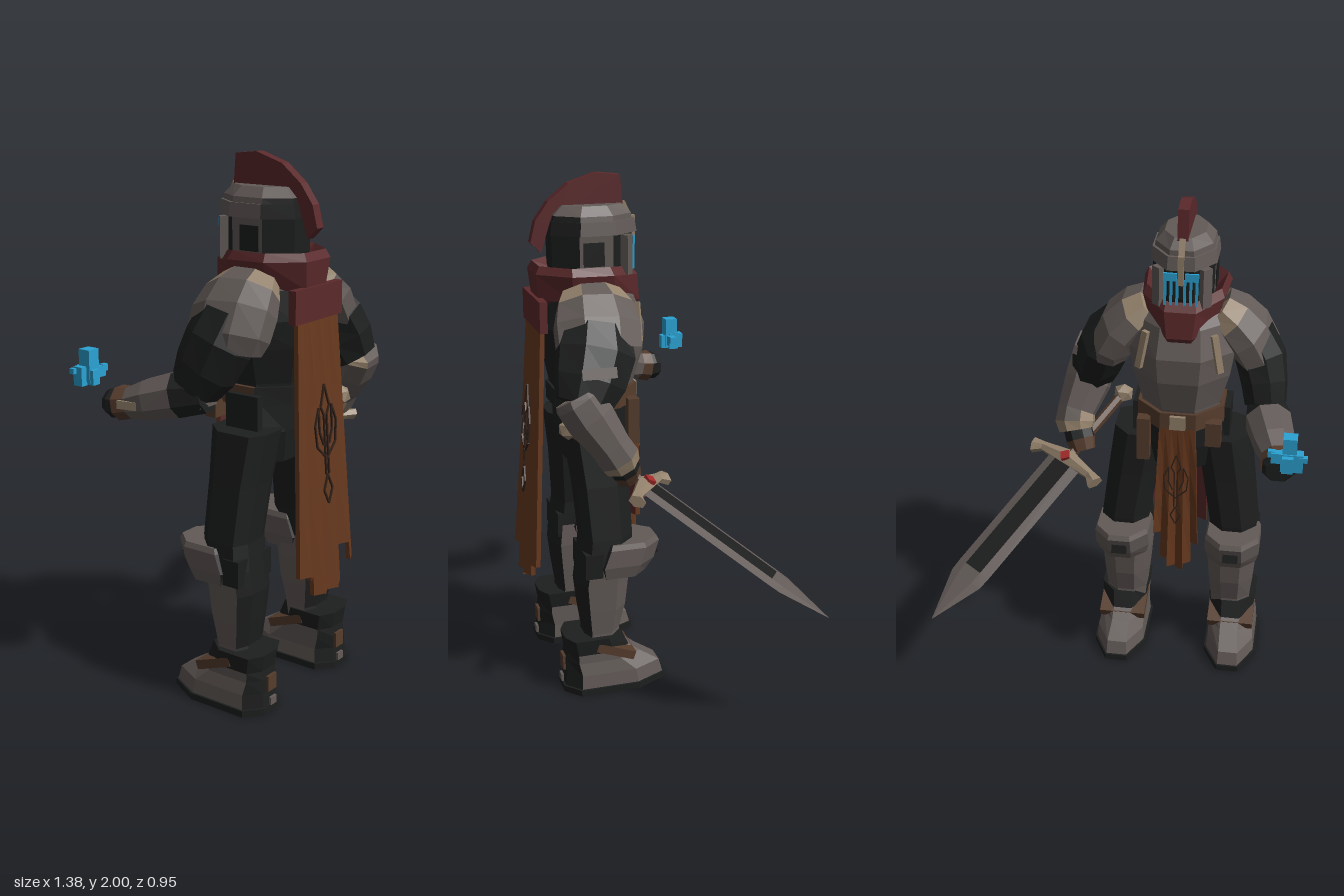
import * as THREE from 'three';

const mat = (name, color) => Object.assign(new THREE.MeshStandardMaterial({ color }), { name });
const steel = mat('worn steel', 0x625a57), black = mat('blackened iron', 0x1d1e1e);
const brown = mat('brown cloth', 0x68391e), maroon = mat('maroon cloth', 0x5b292b);
const bone = mat('pale trim', 0x94826c), leather = mat('leather', 0x553c2c);
const blue = mat('blue glow', 0x2ba3d4), red = mat('red gem', 0xa32a2a), dark = mat('dark stitching', 0x33221a);

const CX = -0.19; // body axis; the figure looks toward -z
const V = (x, y, z) => new THREE.Vector3(x, y, z);
const put = (parent, name, geo, material, x = 0, y = 0, z = 0) => {
  const m = new THREE.Mesh(geo, material);
  m.name = name;
  m.position.set(x, y, z);
  parent.add(m);
  return m;
};
const box = (p, name, m, x, y, z, w, h, d) => put(p, name, new THREE.BoxGeometry(w, h, d), m, x, y, z);

// One mesh, flat faceted, with triangles grouped by material
function facets(parent, name, tris) {
  const buckets = new Map();
  for (const [m, ...pts] of tris) {
    if (!buckets.has(m)) buckets.set(m, []);
    for (const p of pts) buckets.get(m).push(p.x, p.y, p.z);
  }
  const geo = new THREE.BufferGeometry(), all = [], mats = [...buckets.keys()];
  mats.forEach((m, i) => {
    geo.addGroup(all.length / 3, buckets.get(m).length / 3, i);
    for (const v of buckets.get(m)) all.push(v);
  });
  geo.setAttribute('position', new THREE.Float32BufferAttribute(all, 3));
  geo.computeVertexNormals();
  return put(parent, name, geo, mats);
}

// Skin over rings, closed at both ends; paint(i, j) picks the material of segment i, side j
function loft(parent, name, rings, paint) {
  const tris = [], n = rings[0].length, top = rings.length - 1;
  const mid = r => r.reduce((s, p) => s.add(p), V(0, 0, 0)).divideScalar(n);
  const c0 = mid(rings[0]), c1 = mid(rings[top]);
  for (let j = 0; j < n; j++) {
    const k = (j + 1) % n;
    for (let i = 0; i < top; i++) {
      const a = rings[i][j], b = rings[i][k], c = rings[i + 1][k], d = rings[i + 1][j], m = paint(i, j);
      tris.push([m, a, d, c], [m, a, c, b]);
    }
    tris.push([paint(0, j), c0, rings[0][j], rings[0][k]], [paint(top - 1, j), c1, rings[top][k], rings[top][j]]);
  }
  return facets(parent, name, tris);
}

// Level rings from rows [y, x, z, rx, rz]; side 5 of 8 faces -z, side 1 faces +z
const level = (rows, n = 8, phase = 0.5) => rows.map(([y, x, z, rx, rz]) =>
  Array.from({ length: n }, (_, j) => {
    const a = (j + phase) / n * Math.PI * 2, k = phase ? 1 / Math.cos(Math.PI / n) : 1;
    return V(x + Math.cos(a) * rx * k, y, z + Math.sin(a) * rz * k);
  }));

// Rings across a path of [x, y, z, ru, rv]; u follows the given reference axis
function along(rows, ref, n = 8) {
  const pts = rows.map(r => V(r[0], r[1], r[2]));
  return rows.map((r, i) => {
    const d = pts[Math.min(i + 1, pts.length - 1)].clone().sub(pts[Math.max(i - 1, 0)]).normalize();
    const u = ref.clone().addScaledVector(d, -ref.dot(d)).normalize(), v = u.clone().cross(d);
    return Array.from({ length: n }, (_, j) => {
      const a = (j + 0.5) / n * Math.PI * 2, k = 1 / Math.cos(Math.PI / n);
      return pts[i].clone().addScaledVector(u, Math.cos(a) * r[3] * k).addScaledVector(v, Math.sin(a) * r[4] * k);
    });
  });
}
const isFront = j => j >= 4 && j <= 6;
const isBack = j => j <= 2;

// Pleated hanging cloth of ragged slabs, brown outside and maroon inside
function cloth(parent, name, dir, yTop, wTop, wBot, z0, z1, ends) {
  const tris = [], n = ends.length, low = Math.min(...ends), rows = 3;
  const quad = (m, a, b, c, d) => tris.push([m, a, b, c], [m, a, c, d]);
  const at = (e, y, back) => {
    const t = (yTop - y) / (yTop - low);
    return V(CX + dir * (e / n * 2 - 1) * (wTop + (wBot - wTop) * t), y,
      z0 + (z1 - z0) * t + (e % 2 ? 1 : -1) * 0.011 * t - (back ? dir * 0.018 : 0));
  };
  ends.forEach((end, s) => {
    for (let r = 0; r < rows; r++) {
      const ya = yTop + (end - yTop) * r / rows, yb = yTop + (end - yTop) * (r + 1) / rows;
      const [a, b, c, d] = [at(s, ya), at(s + 1, ya), at(s + 1, yb), at(s, yb)];
      const [e, f, g, h] = [at(s, ya, 1), at(s + 1, ya, 1), at(s + 1, yb, 1), at(s, yb, 1)];
      quad(brown, a, d, c, b);
      quad(maroon, e, f, g, h);
      quad(brown, a, e, h, d);
      quad(brown, b, c, g, f);
      if (r === rows - 1) quad(brown, d, h, g, c);
    }
  });
  facets(parent, name, tris);
}

// Stitched three-pronged ornament, one unit tall
function ornament(parent, x, y, z, h, tilt) {
  const g = new THREE.Group();
  g.name = 'stitchedOrnament';
  const line = (x0, y0, x1, y1) => {
    const m = box(g, 'stitch', dark, (x0 + x1) / 2, (y0 + y1) / 2, 0, 0.015, Math.hypot(x1 - x0, y1 - y0), 0.015);
    m.rotation.z = -Math.atan2(x1 - x0, y1 - y0);
  };
  for (const s of [-1, 1]) {
    line(0, 0, s * 0.06, 0.12); line(s * 0.06, 0.12, 0, 0.25);
    line(s * 0.02, 0.25, s * 0.02, 0.75);
    line(0, 0.38, s * 0.13, 0.5); line(s * 0.13, 0.5, s * 0.15, 0.68); line(s * 0.15, 0.68, s * 0.09, 0.82);
    line(s * 0.04, 0.5, s * 0.09, 0.62); line(s * 0.09, 0.62, s * 0.09, 0.82);
    line(s * 0.02, 0.75, s * 0.06, 0.82); line(s * 0.06, 0.82, 0, 1);
  }
  g.scale.setScalar(h);
  g.position.set(x, y, z);
  g.rotation.x = tilt;
  parent.add(g);
}

export function createModel() {
  const model = new THREE.Group();
  model.name = 'armouredKnight';
  const body = (name, rows, paint) =>
    loft(model, name, level(rows.map(([y, z, rx, rz]) => [y, CX, z, rx, rz])), paint);

  // Torso, belt and hips
  body('pelvis', [[0.9, 0.19, 0.13, 0.1], [1.02, 0.18, 0.17, 0.13], [1.15, 0.17, 0.155, 0.14]], () => black);
  body('breastplate', [[1.12, 0.18, 0.15, 0.14], [1.2, 0.17, 0.15, 0.155], [1.33, 0.165, 0.185, 0.185],
    [1.43, 0.165, 0.2, 0.19], [1.54, 0.18, 0.18, 0.165], [1.62, 0.18, 0.11, 0.12]],
  (i, j) => isFront(j) ? steel : black);
  body('belt', [[1.12, 0.17, 0.168, 0.165], [1.19, 0.17, 0.166, 0.165]], (i, j) => isBack(j) ? black : leather);
  box(model, 'buckle', bone, CX, 1.155, 0, 0.06, 0.055, 0.02);
  box(model, 'hangingPouch', leather, CX + 0.135, 1.06, 0.04, 0.05, 0.18, 0.045);
  box(model, 'pouch', leather, CX - 0.135, 1.1, 0.04, 0.06, 0.1, 0.045);
  for (const s of [-1, 1]) {
    box(model, 'hipPlate', black, CX + s * 0.175, 1.1, 0.2, 0.03, 0.13, 0.14);
    box(model, 'chestStrap', bone, CX + s * 0.14, 1.45, 0.016, 0.025, 0.15, 0.02).rotation.set(0.12, s * -0.5, s * 0.2);
  }

  // Helmet with face slit, brow and crest
  body('helmet', [[1.56, 0.17, 0.1, 0.13], [1.66, 0.17, 0.113, 0.155], [1.79, 0.17, 0.115, 0.157],
    [1.85, 0.165, 0.105, 0.15], [1.885, 0.165, 0.075, 0.115]],
  (i, j) => isBack(j) && i < 3 || (i < 2 && isFront(j)) ? black : steel);
  body('browBand', [[1.78, 0.163, 0.122, 0.168], [1.83, 0.163, 0.116, 0.16]], (i, j) => isBack(j) ? black : steel);
  box(model, 'crownRidge', bone, CX, 1.852, 0.022, 0.022, 0.075, 0.02).rotation.x = 0.45;
  box(model, 'noseRidge', bone, CX, 1.78, 0, 0.022, 0.11, 0.02);
  for (const s of [-1, 1]) {
    box(model, 'eyeGlow', blue, CX + s * 0.04, 1.75, 0.01, 0.05, 0.03, 0.009);
    for (const k of [0, 1, 2])
      box(model, 'visorGlow', blue, CX + s * (0.014 + k * 0.022), 1.69, 0.012, 0.01, 0.1, 0.009);
    box(model, 'cheekPlate', steel, CX + s * 0.085, 1.7, 0.045, 0.04, 0.15, 0.03).rotation.y = s * -0.75;
    box(model, 'earPanel', black, CX + s * 0.114, 1.71, 0.18, 0.009, 0.09, 0.08);
  }
  const crest = new THREE.Shape([[0.04, 1.87], [0.05, 1.99], [0.14, 2], [0.25, 1.965], [0.33, 1.9], [0.38, 1.83],
    [0.4, 1.75], [0.36, 1.71], [0.325, 1.82], [0.28, 1.86]].map(([z, y]) => new THREE.Vector2(-z, y)));
  put(model, 'crest', new THREE.ExtrudeGeometry(crest, { depth: 0.04, bevelEnabled: false }), maroon, CX - 0.02)
    .rotation.y = Math.PI / 2;

  // Scarf, narrower toward the front and dipping there
  const scarf = level([[1.5, CX, 0.17, 0.11, 0.16], [1.54, CX, 0.185, 0.135, 0.2], [1.64, CX, 0.195, 0.165, 0.2],
    [1.67, CX, 0.2, 0.15, 0.18], [1.61, CX, 0.185, 0.1, 0.14]]);
  for (const p of scarf.flat()) {
    p.x = CX + (p.x - CX) * (0.86 + p.z * 0.55);
    p.y -= Math.max(0, 0.15 - p.z) * 0.15;
  }
  loft(model, 'scarf', scarf, () => maroon);
  box(model, 'scarfFlap', maroon, CX, 1.49, 0.385, 0.29, 0.12, 0.03);

  // Cape and tabard
  cloth(model, 'cape', 1, 1.48, 0.122, 0.175, 0.393, 0.462, [0.515, 0.5, 0.425, 0.42, 0.42, 0.43, 0.57, 0.5]);
  ornament(model, CX, 0.76, 0.453, 0.44, -0.068);
  cloth(model, 'tabard', -1, 1.13, 0.07, 0.095, -0.004, 0.006, [0.64, 0.52, 0.48, 0.47, 0.5, 0.6]);
  ornament(model, CX, 0.7, -0.01, 0.32, -0.015);

  // Legs and boots, mirrored
  for (const s of [-1, 1]) {
    const leg = new THREE.Group();
    leg.name = s > 0 ? 'swordSideLeg' : 'flameSideLeg';
    model.add(leg);
    const part = (name, rows, paint) => {
      const rings = level(rows.map(([y, x, z, rx, rz]) => [y, CX + s * x, z, rx, rz]));
      // flatten the rear so the sides reach further back
      for (const r of rings) for (const [side, rear] of [[0, 1], [3, 2]]) r[side].z += (r[rear].z - r[side].z) * 0.55;
      loft(leg, name, rings, paint);
    };
    part('legArmour', [[0.14, 0.225, 0.215, 0.08, 0.085], [0.24, 0.22, 0.205, 0.082, 0.07], [0.34, 0.22, 0.2, 0.092, 0.09],
      [0.45, 0.22, 0.2, 0.1, 0.102], [0.54, 0.225, 0.19, 0.1, 0.102], [0.64, 0.22, 0.18, 0.095, 0.1],
      [0.85, 0.19, 0.19, 0.1, 0.105], [1.04, 0.16, 0.2, 0.105, 0.12]], (i, j) => i > 3 || isBack(j) ? black : steel);
    part('kneeGuard', [[0.48, 0.225, 0.13, 0.098, 0.1], [0.53, 0.225, 0.12, 0.11, 0.125],
      [0.6, 0.225, 0.095, 0.108, 0.122], [0.62, 0.225, 0.095, 0.1, 0.112]], (i, j) => isBack(j) ? black : steel);
    box(leg, 'kneePanel', black, CX + s * 0.225, 0.562, -0.012, 0.06, 0.05, 0.02).rotation.x = 0.25;
    box(leg, 'calfBand', black, CX + s * 0.225, 0.54, 0.25, 0.2, 0.1, 0.07);
    part('sole', [[0, 0.235, 0.16, 0.108, 0.208], [0.025, 0.235, 0.16, 0.108, 0.208]], () => black);
    part('boot', [[0.025, 0.235, 0.16, 0.1, 0.2], [0.08, 0.235, 0.165, 0.095, 0.19], [0.13, 0.23, 0.205, 0.09, 0.15],
      [0.165, 0.23, 0.225, 0.09, 0.125], [0.23, 0.23, 0.245, 0.098, 0.115]],
    (i, j) => isBack(j) || i === 3 ? black : steel);
    box(leg, 'bootStrap', leather, CX + s * 0.23, 0.165, 0.165, 0.19, 0.035, 0.16).rotation.x = -0.35;
    box(leg, 'heelStrap', leather, CX + s * 0.225, 0.11, 0.35, 0.05, 0.06, 0.03);
    box(leg, 'heelStud', steel, CX + s * 0.225, 0.04, 0.366, 0.035, 0.03, 0.01);

    // Shoulder armour with pale inner edges
    loft(model, 'pauldron', along([[CX + s * 0.13, 1.57, 0.2, 0.11, 0.06], [CX + s * 0.18, 1.53, 0.2, 0.14, 0.08],
      [CX + s * 0.235, 1.47, 0.205, 0.158, 0.088], [CX + s * 0.28, 1.39, 0.21, 0.155, 0.083],
      [CX + s * 0.29, 1.34, 0.21, 0.13, 0.07]], V(0, 0, 1)), (i, j) => i === 0 && j % 4 !== 1 ? bone : steel);
  }

  // Sword arm, hanging with the elbow back
  const swordArm = new THREE.Group();
  swordArm.name = 'swordArm';
  model.add(swordArm);
  const Z = V(0, 0, 1), X = V(1, 0, 0);
  loft(swordArm, 'upperArm', along([[0.06, 1.46, 0.21, 0.12, 0.08], [0.115, 1.38, 0.23, 0.142, 0.1],
    [0.155, 1.29, 0.265, 0.13, 0.098], [0.18, 1.21, 0.3, 0.1, 0.085]], Z), () => black);
  box(swordArm, 'elbowPlate', steel, 0.235, 1.34, 0.25, 0.02, 0.04, 0.13).rotation.z = 0.3;
  loft(swordArm, 'forearm', along([[0.185, 1.245, 0.325, 0.078, 0.08], [0.19, 1.23, 0.318, 0.086, 0.088],
    [0.205, 1.16, 0.275, 0.088, 0.09], [0.24, 1.06, 0.21, 0.072, 0.073], [0.243, 1.02, 0.185, 0.076, 0.076],
    [0.235, 0.99, 0.17, 0.066, 0.066]], X),
  (i, j) => i === 4 || (i !== 2 && j >= 2 && j <= 4 && i !== 1) ? bone : steel);
  loft(swordArm, 'hand', along([[0.235, 1.01, 0.18, 0.055, 0.055], [0.215, 0.96, 0.15, 0.055, 0.055],
    [0.2, 0.92, 0.13, 0.045, 0.045]], X), i => i ? leather : black);

  // Flame arm, forearm reaching forward
  const flameArm = new THREE.Group();
  flameArm.name = 'flameArm';
  model.add(flameArm);
  loft(flameArm, 'upperArm', along([[-0.44, 1.46, 0.2, 0.12, 0.08], [-0.485, 1.37, 0.18, 0.125, 0.09],
    [-0.505, 1.28, 0.14, 0.115, 0.083], [-0.515, 1.21, 0.1, 0.09, 0.075]], Z), () => black);
  loft(flameArm, 'forearm', along([[-0.51, 1.195, 0.15, 0.065, 0.07], [-0.53, 1.175, 0.04, 0.084, 0.08],
    [-0.562, 1.145, -0.07, 0.075, 0.072], [-0.58, 1.127, -0.14, 0.06, 0.056], [-0.585, 1.12, -0.185, 0.066, 0.06]], X),
  (i, j) => i === 3 ? leather : i === 0 ? black : steel);
  box(flameArm, 'elbowPlate', steel, -0.515, 1.19, 0.15, 0.09, 0.09, 0.02);
  box(flameArm, 'wristTrim', bone, -0.637, 1.133, -0.11, 0.016, 0.03, 0.08).rotation.y = 0.2;
  loft(flameArm, 'hand', along([[-0.585, 1.12, -0.17, 0.055, 0.05], [-0.588, 1.12, -0.21, 0.06, 0.054],
    [-0.588, 1.12, -0.235, 0.045, 0.04]], X), () => black);

  // Floating blue flame of blocks
  const flame = new THREE.Group();
  flame.name = 'blueFlame';
  model.add(flame);
  for (const [x, y, z, w, h, d] of [[-0.625, 1.25, -0.3, 0.05, 0.12, 0.05], [-0.635, 1.215, -0.31, 0.08, 0.07, 0.04],
    [-0.62, 1.215, -0.33, 0.04, 0.06, 0.04], [-0.63, 1.21, -0.275, 0.035, 0.055, 0.03],
    [-0.675, 1.235, -0.325, 0.03, 0.02, 0.02], [-0.585, 1.22, -0.295, 0.05, 0.04, 0.03],
    [-0.56, 1.23, -0.29, 0.025, 0.025, 0.02]]) box(flame, 'flameBlock', blue, x, y, z, w, h, d);

  // Sword: local y runs to the tip, local x along the guard
  const sword = new THREE.Group();
  sword.name = 'sword';
  model.add(sword);
  const d = V(0.435, -0.425, -0.565).normalize(), g = V(0.3, 0.03, 0.2);
  g.addScaledVector(d, -g.dot(d)).normalize();
  sword.quaternion.setFromRotationMatrix(new THREE.Matrix4().makeBasis(g, d, g.clone().cross(d)));
  sword.position.set(0.255, 0.905, 0.085);
  loft(sword, 'blade', level([[0, 0, 0, 0.083, 0.014], [0.58, 0, 0, 0.083, 0.013], [0.63, 0, 0, 0.08, 0.011],
    [0.829, 0, 0, 0.001, 0.001]], 6, 0), (i, j) => i === 0 && j % 3 === 1 ? black : steel);
  loft(sword, 'guard', along([[-0.175, 0.03, 0, 0.03, 0.02], [-0.13, 0.012, 0, 0.018, 0.016], [0, 0, 0, 0.032, 0.026],
    [0.13, 0.012, 0, 0.018, 0.016], [0.175, 0.03, 0, 0.03, 0.02]], V(0, 1, 0), 6), () => bone);
  for (const s of [-1, 1]) box(sword, 'gem', red, 0, 0.005, s * 0.028, 0.035, 0.035, 0.016).rotation.z = Math.PI / 4;
  put(sword, 'grip', new THREE.CylinderGeometry(0.02, 0.02, 0.34, 6).toNonIndexed(), leather, 0, -0.17, 0)
    .geometry.computeVertexNormals();
  put(sword, 'pommel', new THREE.IcosahedronGeometry(0.042, 0), bone, 0, -0.355, 0);

  return model;
}
